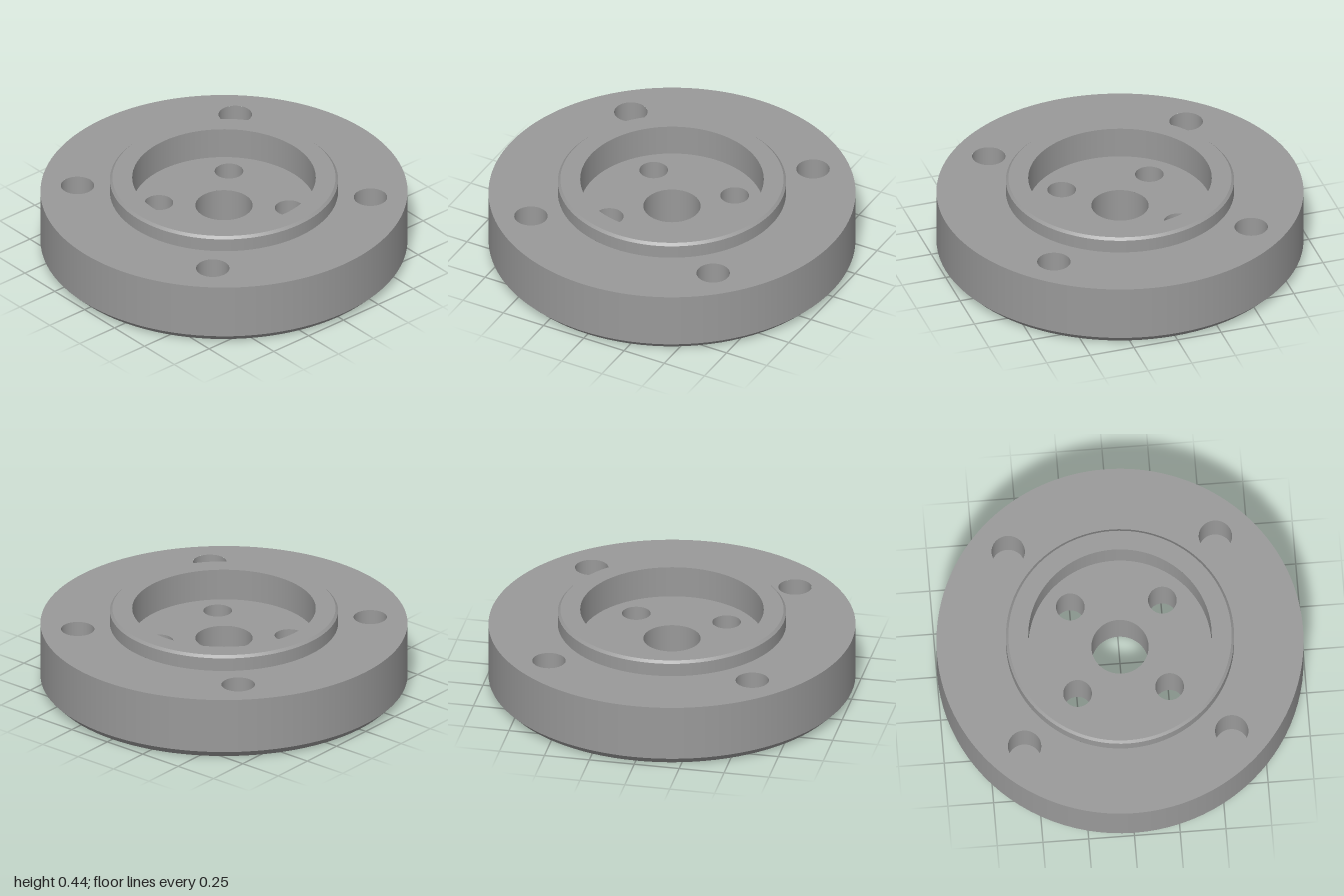
import * as THREE from 'three';

const SEG = 96;
const H = { floor: 0.267, flange: 0.356, top: 0.445, blind: 0.134 };
const R = { rim: 1, hub: 0.622, recess: 0.5, bore: 0.156, bolt: 0.078, blind: 0.091 };
const BOLT = 0.2515, BLIND = 0.566; // hole offsets along x and z

export function createModel() {
  const group = new THREE.Group();
  const steel = new THREE.MeshStandardMaterial({ color: 0x999999 });
  steel.name = 'grey steel';

  const add = (name, geometry) => {
    const mesh = new THREE.Mesh(geometry, steel);
    mesh.name = name;
    group.add(mesh);
    return mesh;
  };

  // Surface of revolution: rising profiles face outward, falling ones inward
  const band = (name, r0, y0, r1, y1, x = 0, z = 0, seg = SEG) => {
    const points = [new THREE.Vector2(r0, y0), new THREE.Vector2(r1, y1)];
    add(name, new THREE.LatheGeometry(points, seg)).position.set(x, 0, z);
  };

  // Flat disc with round holes given as [x, z, radius]
  const plate = (name, radius, y, holes, facing = 1, x = 0, z = 0) => {
    const shape = new THREE.Shape().absarc(0, 0, radius, 0, Math.PI * 2);
    for (const [hx, hz, r] of holes) {
      shape.holes.push(new THREE.Path().absarc(hx, -facing * hz, r, 0, Math.PI * 2, true));
    }
    const geometry = new THREE.ShapeGeometry(shape, SEG);
    geometry.rotateX(-facing * Math.PI / 2);
    add(name, geometry).position.set(x, y, z);
  };

  const corners = [[1, 1], [1, -1], [-1, -1], [-1, 1]];
  const ring = (d, r) => corners.map(([sx, sz]) => [sx * d, sz * d, r]);
  const through = [[0, 0, R.bore], ...ring(BOLT, R.bolt)];
  const blind = ring(BLIND, R.blind);

  // Flange with chamfered lower edge
  plate('flangeUnderside', 0.956, 0, through, -1);
  band('flangeChamfer', 0.956, 0, R.rim, 0.044);
  band('flangeRim', R.rim, 0.044, R.rim, H.flange);
  plate('flangeTop', R.rim, H.flange, [[0, 0, R.hub], ...blind]);

  // Raised hub collar and its recess
  band('hubWall', R.hub, H.flange, R.hub, H.top - 0.014);
  band('hubChamfer', R.hub, H.top - 0.014, R.hub - 0.014, H.top);
  plate('hubTop', R.hub - 0.014, H.top, [[0, 0, R.recess]]);
  band('recessWall', R.recess, H.top, R.recess, H.floor);
  plate('recessFloor', R.recess, H.floor, through);

  // Central bore and bolt holes run right through
  through.forEach(([x, z, r], i) =>
    band(i ? 'boltHole' : 'centreBore', r, H.floor, r, 0, x, z, 48));

  // Blind holes in the flange
  for (const [x, z, r] of blind) {
    band('blindHoleWall', r, H.flange, r, H.blind, x, z, 48);
    plate('blindHoleFloor', r, H.blind, [], 1, x, z);
  }
  return group;
}
